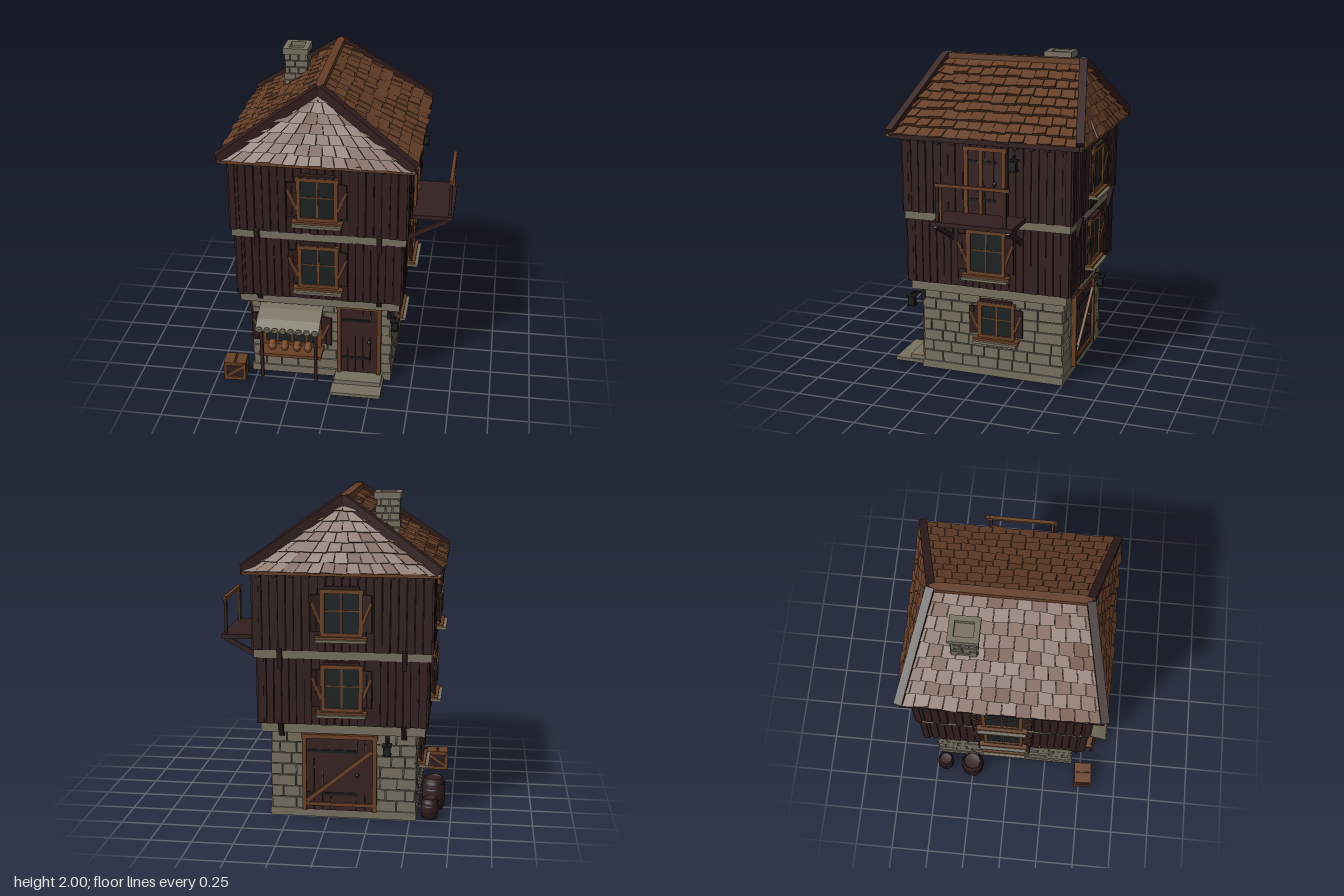
import * as THREE from 'three';
import { mergeGeometries } from 'three/addons/utils/BufferGeometryUtils.js';

const mat = (name, color) => Object.assign(new THREE.MeshStandardMaterial({ color }), { name });
const V = (x, y, z) => new THREE.Vector3(x, y, z);

export function createModel() {
  const root = new THREE.Group();
  root.name = 'townHouse';
  const stone = mat('stone', 0x777060), mortar = mat('mortar', 0x57524a), dark = mat('dark timber', 0x331e1e);
  const gap = mat('timber gaps', 0x211314), wood = mat('brown wood', 0x684026), tile = mat('roof tile', 0x643e28);
  const door = mat('door planks', 0x382222), iron = mat('iron', 0x1b1a1c), glass = mat('glass', 0x1c2121), clay = mat('clay', 0x7c4c2d);

  let seed = 7;
  const rnd = (a, b) => a + (b - a) * ((seed = (seed * 16807) % 2147483647) / 2147483647);
  const box = (w, h, d, x, y, z, rz = 0) => new THREE.BoxGeometry(w, h, d).rotateZ(rz).translate(x, y, z);
  const beam = (p, q, w, h) => new THREE.BoxGeometry(w, h, p.distanceTo(q)).applyMatrix4(
    new THREE.Matrix4().lookAt(q, p, V(0, 1, 0)).setPosition(p.clone().add(q).multiplyScalar(0.5)));
  const part = (parent, name, material, ...geos) => {
    const m = new THREE.Mesh(mergeGeometries(geos), material);
    m.name = name;
    parent.add(m);
  };
  const group = (parent, name, x = 0, y = 0, z = 0, ry = 0) => {
    const g = new THREE.Group();
    g.name = name;
    g.position.set(x, y, z);
    g.rotation.y = ry;
    parent.add(g);
    return g;
  };
  // box whose vertices are moved by a rule f(x, y, z), each input in 0..1
  const warp = (f) => {
    const g = new THREE.BoxGeometry(1, 1, 1), p = g.attributes.position;
    for (let i = 0; i < p.count; i++) {
      const v = f(p.getX(i) + 0.5, p.getY(i) + 0.5, p.getZ(i) + 0.5);
      p.setXYZ(i, v.x, v.y, v.z);
    }
    g.computeVertexNormals();
    return g;
  };

  // Storeys: a core box and four face groups whose local +z points outward
  const CX = -0.087;
  const storey = (name, hx, hz, zc, y0, y1, material, cover) => {
    part(root, name + 'Core', material, box(hx * 2, y1 - y0, hz * 2, CX, (y0 + y1) / 2, zc));
    return ['Front', 'Right', 'Back', 'Left'].map((side, i) => {
      const a = i * Math.PI / 2, d = i % 2 ? hx : hz;
      const g = group(root, name + side, CX + Math.sin(a) * d, 0, zc + Math.cos(a) * d, a);
      cover(g, i % 2 ? hz : hx, y0, y1);
      return g;
    });
  };
  const bricks = (size, rows) => (g, half, y0, y1) => {
    const out = [], h = (y1 - y0) / rows;
    for (let r = 0; r < rows; r++) {
      let x = -half - 0.008;
      while (x < half) {
        let e = x + rnd(0.7, 1.3) * size * (x < -half && r % 2 ? 0.55 : 1);
        if (e > half - size * 0.4) e = half + 0.008;
        const d = rnd(0.008, 0.016);
        out.push(box(e - x - 0.006, h - 0.006, d, (x + e) / 2, y0 + h * (r + 0.5), d / 2, rnd(-0.015, 0.015)));
        x = e;
      }
    }
    part(g, 'stoneBlocks', stone, ...out);
  };
  const planks = (g, half, y0, y1) => {
    const out = [], n = 22, w = half * 2 / n;
    for (let i = 0; i < n; i++) {
      const d = rnd(0.006, 0.016);
      out.push(box(w - 0.004, y1 - y0, d, -half + w * (i + 0.5), (y0 + y1) / 2, d / 2, rnd(-0.006, 0.006)));
    }
    out.push(...[-1, 1].map(s => box(0.035, y1 - y0, 0.022, s * (half - 0.012), (y0 + y1) / 2, 0.005)));
    part(g, 'planks', dark, ...out);
  };
  const s1 = storey('groundFloor', 0.435, 0.455, -0.035, 0.05, 0.55, mortar, bricks(0.12, 7));
  const s2 = storey('middleFloor', 0.506, 0.519, -0.029, 0.61, 1.02, gap, planks);
  const s3 = storey('upperFloor', 0.53, 0.532, -0.03, 1.07, 1.55, gap, planks);
  part(root, 'plinthAndLedges', stone, box(0.905, 0.05, 0.945, CX, 0.025, -0.033),
    box(1.005, 0.06, 1.02, CX, 0.58, -0.027), box(1.07, 0.05, 1.07, CX, 1.045, -0.03));
  part(root, 'steps', stone, box(0.32, 0.022, 0.24, 0.16, 0.011, 0.53), box(0.3, 0.05, 0.14, 0.16, 0.025, 0.48));

  // Wedge brackets under the front and back overhangs
  [[s1[0], s1[2], 0.52, 0.62, 0.07], [s2[0], s2[2], 0.96, 1.085, 0.03]].forEach(([f, b, y0, y1, d]) =>
    [f, b].forEach(g => part(g, 'brackets', dark, ...[-0.375, 0.375].map(x => warp((u, v, w) =>
      V(x + (u - 0.5) * 0.03, y0 + v * (y1 - y0), w * (0.025 + v * d)))))));

  // Windows with frame, bars, sill, hood and shutters opened back towards the wall
  const frame = (x, y, w, h, t, d) => [box(t, h, d, x - w / 2 + t / 2, y + h / 2, d / 2), box(t, h, d, x + w / 2 - t / 2, y + h / 2, d / 2),
    box(w + 0.01, t, d, x, y + h - t / 2, d / 2)];
  const addWindow = (parent, x, y, w, h, sill = true, bars = 1, len = 0.06) => {
    const g = group(parent, 'window', x);
    part(g, 'glass', glass, box(w - 0.03, h - 0.02, 0.024, 0, y + h / 2, 0.012));
    const bw = [];
    for (let i = 1; i <= bars; i++) bw.push(box(0.01, h, 0.03, -w / 2 + w * i / (bars + 1), y + h / 2, 0.015));
    part(g, 'frame', wood, ...frame(0, y, w, h, 0.024, 0.035), box(w, 0.024, 0.035, 0, y + 0.012, 0.0175), ...bw,
      box(w, 0.007, 0.028, 0, y + h * 0.55, 0.014));
    part(g, 'hood', dark, box(w * 0.85, 0.015, 0.042, 0, y + h + 0.012, 0.021));
    if (sill) {
      part(g, 'sillTop', wood, box(w + 0.06, 0.015, 0.055, 0, y - 0.004, 0.0275));
      part(g, 'sillStone', stone, box(w + 0.05, 0.016, 0.075, 0, y - 0.019, 0.0375));
    }
    [-1, 1].forEach(s => {
      const p = group(g, 'shutter', s * w / 2, y + h / 2, 0.02, -s * 0.3);
      part(p, 'shutterPlanks', dark, box(len * 0.48, h - 0.06, 0.012, s * len * 0.25, 0, 0), box(len * 0.48, h - 0.06, 0.012, s * len * 0.75, 0, 0));
      part(p, 'shutterBrace', wood, box(0.014, h * 0.5, 0.022, s * len / 2, 0, 0, -s * 0.4));
    });
  };
  [0, 1, 2, 3].forEach(i => {
    addWindow(s2[i], 0, 0.70, 0.25, 0.29);
    if (i !== 1) addWindow(s3[i], 0, 1.165, 0.25, 0.285);
  });
  addWindow(s1[1], 0.035, 0.26, 0.24, 0.24);
  addWindow(s1[3], 0, 0.26, 0.24, 0.24);
  addWindow(s1[0], -0.185, 0.22, 0.38, 0.26, false, 3, 0.07);

  // Doors with planks, frame, straps and handle
  const addDoor = (parent, name, x, y, w, h, brace) => {
    const g = group(parent, name, x), n = Math.round(w / 0.06), pw = (w - 0.04) / n, pl = [];
    for (let i = 0; i < n; i++) pl.push(box(pw - 0.002, h - 0.02, 0.026, -w / 2 + 0.02 + pw * (i + 0.5), y + h / 2 - 0.01, 0.013));
    part(g, 'doorPlanks', door, ...pl);
    part(g, 'doorFrame', wood, ...frame(0, y, w, h, 0.026, 0.042));
    part(g, 'straps', iron, ...[0.22, 0.78].map(t => box(w * 0.7, 0.018, 0.008, -w * 0.1, y + h * t, 0.029)),
      new THREE.SphereGeometry(0.013, 10, 8).translate(w * 0.24, y + h * 0.48, 0.036));
    if (brace) part(g, 'braces', wood, beam(V(-w / 2 + 0.03, y + 0.06, 0.03), V(w / 2 - 0.03, y + h - 0.1, 0.03), 0.025, 0.025),
      box(w - 0.04, 0.022, 0.036, 0, y + 0.04, 0.018));
  };
  addDoor(s1[0], 'frontDoor', 0.247, 0.05, 0.28, 0.5, false);
  addDoor(s1[2], 'backDoor', -0.02, 0.05, 0.46, 0.49, true);
  const balconyWall = group(s3[1], 'balconyWall', 0, 0, -0.012);
  addDoor(balconyWall, 'balconyDoor', 0, 1.09, 0.265, 0.425, false);
  part(balconyWall, 'balconyDoorPost', wood, box(0.022, 0.4, 0.04, -0.025, 1.29, 0.02));

  // Balcony
  const bal = group(root, 'balcony');
  part(bal, 'deck', dark, box(0.265, 0.028, 0.51, 0.577, 1.083, -0.033));
  part(bal, 'bracesAndPosts', dark, ...[0.2, -0.255].flatMap(z => [beam(V(0.43, 0.93, z), V(0.69, 1.07, z), 0.022, 0.03),
    box(0.025, 0.16, 0.025, 0.435, 0.99, z), box(0.018, 0.25, 0.02, 0.688, 1.205, z * 0.93)]));
  part(bal, 'handrail', wood, box(0.022, 0.02, 0.463, 0.688, 1.32, -0.033),
    ...[0.165, -0.23].map(z => box(0.012, 0.22, 0.014, 0.688, 1.2, z)));

  // Roof: core, tiled slopes, hip and ridge beams, fascia and rafter ends
  const roof = group(root, 'roof'), ex = 0.582, zf = 0.572, zb = -0.627, rf = 0.425, rb = -0.48, ye = 1.55, yr = 1.955;
  part(roof, 'roofCore', tile, warp((x, y, z) => V(CX + (x - 0.5) * 2 * ex * (1 - y), ye + y * (yr - ye),
    THREE.MathUtils.lerp(zb + z * (zf - zb), rb + z * (rf - rb), y))));
  const slope = (name, A, B, C, D, rows, size) => {
    const n = B.clone().sub(A).cross(D.clone().lerp(C, 0.5).sub(A)).normalize(), out = [];
    const at = (u, v, o) => A.clone().lerp(B, u).lerp(D.clone().lerp(C, u), v).addScaledVector(n, o);
    for (let r = 0; r < rows; r++) {
      const v0 = r / rows, width = at(0, v0, 0).distanceTo(at(1, v0, 0)), k = Math.max(2, Math.round(width / size));
      const off = r % 2 ? 0.5 : 0;
      for (let i = 0; i < k + off * 2; i++) {
        const u0 = Math.max(0, (i - off) / k), u1 = Math.min(1, (i + 1 - off) / k), lo = rnd(0.018, 0.03), dv = rnd(-0.012, 0.006);
        const tilt = rnd(-0.008, 0.008), slant = rnd(-0.012, 0.012);
        const vb = Math.max(-0.01, v0 + dv), vt = Math.min(1, (r + 1.15) / rows), g = 0.0015 / Math.max(width, 0.1);
        out.push(warp((u, v, w) => at(u0 + g + u * (u1 - u0 - 2 * g), vb + slant * u * (1 - v) + v * (vt - vb),
          w * (lo + (u - 0.5) * tilt + v * (0.006 - lo)))));
      }
    }
    part(roof, name, tile, ...out);
  };
  const FL = V(CX - ex, ye, zf), FR = V(CX + ex, ye, zf), BL = V(CX - ex, ye, zb), BR = V(CX + ex, ye, zb), RF = V(CX, yr, rf), RB = V(CX, yr, rb);
  slope('rightTiles', FR, BR, RB, RF, 9, 0.085);
  slope('leftTiles', BL, FL, RF, RB, 9, 0.085);
  slope('frontTiles', FL, FR, RF, RF, 7, 0.08);
  slope('backTiles', BR, BL, RB, RB, 7, 0.08);
  const up = V(0, 0.018, 0);
  part(roof, 'hipBeams', dark, ...[[FL, RF], [FR, RF], [BL, RB], [BR, RB]].map(([a, b]) =>
    beam(a.clone().add(up), b.clone().add(up), 0.05, 0.055)));
  part(roof, 'ridgeBeam', tile, box(0.05, 0.035, rf - rb + 0.02, CX, 1.972, (rf + rb) / 2));
  part(roof, 'endFascia', tile, ...[[FL, FR], [BR, BL]].map(([a, b]) => beam(a, b, 0.025, 0.03)));
  part(roof, 'sideFascia', dark, ...[[FR, BR], [BL, FL]].map(([a, b]) => beam(a, b, 0.025, 0.03)));
  const ends = [];
  for (let i = -5; i <= 5; i++) [-1, 1].forEach(s => ends.push(box(0.025, 0.025, 0.05, CX + i * 0.1, 1.53, -0.028 + s * 0.56),
    box(0.05, 0.025, 0.025, CX + s * 0.555, 1.53, -0.03 + i * 0.1)));
  part(roof, 'rafterEnds', dark, ...ends);

  // Chimney with a hollow cap
  const ch = group(root, 'chimney', -0.334, 0, -0.264);
  part(ch, 'shaftCore', mortar, box(0.12, 0.36, 0.135, 0, 1.78, 0));
  [0, 1, 2, 3].forEach(i => {
    const a = i * Math.PI / 2, d = i % 2 ? 0.06 : 0.0675;
    bricks(0.055, 8)(group(ch, 'shaftSide', Math.sin(a) * d, 0, Math.cos(a) * d, a), i % 2 ? 0.0675 : 0.06, 1.62, 1.96);
  });
  part(ch, 'cap', stone, ...[-1, 1].flatMap(s => [box(0.034, 0.04, 0.18, s * 0.063, 1.98, 0), box(0.16, 0.04, 0.034, 0, 1.98, s * 0.073)]),
    box(0.1, 0.02, 0.12, 0, 1.96, 0));

  // Shop awning, counter and pots
  const shop = group(root, 'shopFront');
  const prof = new THREE.Shape([[0.43, 0.535], [0.5, 0.52], [0.58, 0.487], [0.65, 0.447], [0.65, 0.438], [0.58, 0.477], [0.5, 0.51], [0.43, 0.525]]
    .map(p => new THREE.Vector2(...p)));
  part(shop, 'awning', stone, new THREE.ExtrudeGeometry(prof, { depth: 0.4, bevelEnabled: false }).rotateY(-Math.PI / 2).translate(-0.067, 0, 0));
  const scallops = [];
  for (let i = 0; i < 8; i++) scallops.push(new THREE.CylinderGeometry(0.02, 0.02, 0.006, 10).rotateX(Math.PI / 2).translate(-0.442 + i * 0.05, 0.446, 0.645));
  part(shop, 'scallops', stone, ...scallops);
  part(shop, 'posts', dark, ...[-0.445, -0.1].map(x => box(0.02, 0.41, 0.02, x, 0.255, 0.57)));
  part(shop, 'counter', wood, box(0.4, 0.02, 0.14, -0.267, 0.212, 0.5));
  const potPts = [[0, 0], [0.017, 0], [0.027, 0.022], [0.025, 0.037], [0.016, 0.046], [0.021, 0.058], [0, 0.054]].map(p => new THREE.Vector2(...p));
  part(shop, 'pots', clay, ...[-0.39, -0.31, -0.23, -0.16].map(x => new THREE.LatheGeometry(potPts, 12).translate(x, 0.222, 0.505)));

  // Barrels and crate
  [[-0.635, -0.25, 0.075, 0.2], [-0.62, -0.44, 0.055, 0.13]].forEach(([x, z, r, h]) => {
    const g = group(root, 'barrel', x, 0, z);
    const pts = [[0, 0], [0.8, 0], [0.95, 0.25], [1, 0.5], [0.95, 0.75], [0.8, 1], [0.7, 1], [0.7, 0.95], [0, 0.95]];
    part(g, 'staves', dark, new THREE.LatheGeometry(pts.map(p => new THREE.Vector2(p[0] * r, p[1] * h)), 18));
    part(g, 'hoops', iron, ...[0.12, 0.32, 0.68, 0.88].map(t =>
      new THREE.CylinderGeometry(r * (t > 0.5 ? 0.9 : 0.98), r * (t > 0.5 ? 0.98 : 0.9), h * 0.07, 18, 1, true).scale(1.03, 1, 1.03).translate(0, t * h, 0)));
  });
  const crate = group(root, 'crate', -0.63, 0, 0.52, 0.06), slats = [];
  part(crate, 'crateBody', dark, box(0.125, 0.115, 0.1, 0, 0.065, 0));
  for (const s of [-1, 1]) {
    for (const y of [0.015, 0.122]) slats.push(box(0.14, 0.022, 0.012, 0, y, s * 0.052), box(0.012, 0.022, 0.1, s * 0.064, y, 0));
    for (const t of [-1, 1]) slats.push(box(0.018, 0.11, 0.014, s * 0.061, 0.068, t * 0.052));
    slats.push(box(0.13, 0.018, 0.01, 0, 0.068, s * 0.052, 0.6), box(0.055, 0.01, 0.1, s * 0.033, 0.128, 0));
  }
  part(crate, 'crateSlats', wood, ...slats);

  // Lanterns hanging from short arms
  [[0.39, 0.5, 0.495, 0.35, 0.43], [-0.36, 0.5, -0.55, -0.36, -0.49], [0.495, 1.46, -0.22, 0.44, -0.22]].forEach(([x, y, z, wx, wz]) => {
    const g = group(root, 'lantern', x, y, z);
    part(g, 'lanternFrame', iron, box(0.05, 0.008, 0.05, 0, -0.07, 0), box(0.056, 0.01, 0.056, 0, -0.008, 0), box(0.006, 0.02, 0.006, 0, 0.005, 0),
      ...[-1, 1].flatMap(s => [-1, 1].map(t => box(0.007, 0.06, 0.007, s * 0.018, -0.04, t * 0.018))),
      beam(V(0, 0.013, 0), V(wx - x, 0.013, wz - z), 0.012, 0.012), box(0.03, 0.08, 0.03, wx - x, 0.005, wz - z));
    part(g, 'lanternGlass', glass, box(0.034, 0.06, 0.034, 0, -0.04, 0));
  });
  return root;
}
